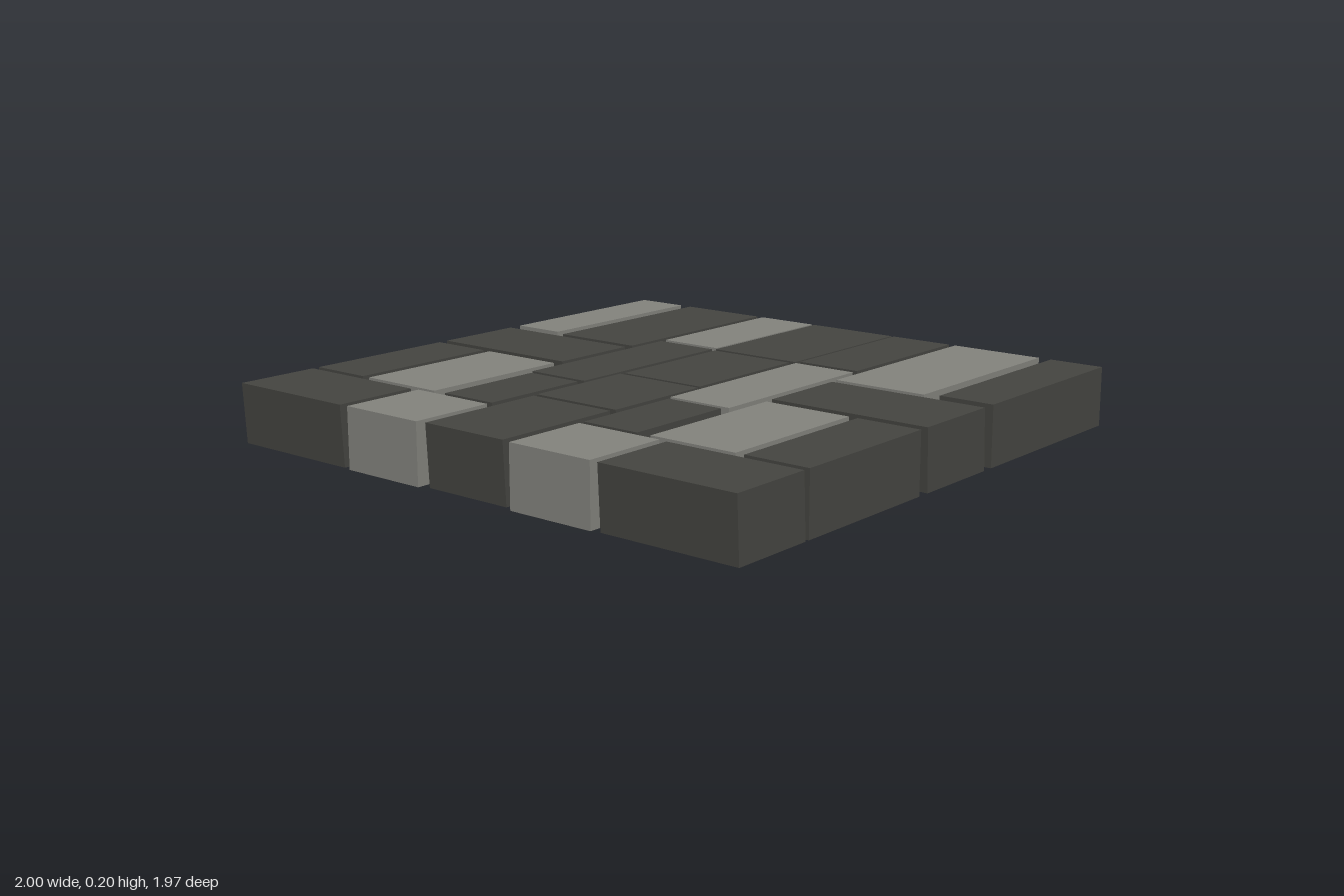
import * as THREE from 'three';

const HEIGHT = 0.2;
const dark = new THREE.MeshStandardMaterial({ color: 0x444440, flatShading: true, side: THREE.DoubleSide });
const light = new THREE.MeshStandardMaterial({ color: 0x82827c, flatShading: true, side: THREE.DoubleSide });

// Hollow paving block, open underneath; lean shifts the foot of the block towards the back
function block(name, [x0, x1, z0, z1], material, lean = 0) {
  const geo = new THREE.BoxGeometry(x1 - x0, HEIGHT, z1 - z0);
  const index = Array.from(geo.index.array);
  index.splice(18, 6); // drop the bottom face
  geo.setIndex(index);
  geo.clearGroups();
  const p = geo.attributes.position;
  for (let i = 0; i < p.count; i++) {
    if (p.getY(i) < 0) p.setZ(i, p.getZ(i) - lean);
  }
  geo.computeVertexNormals();
  const mesh = new THREE.Mesh(geo, material);
  mesh.name = name;
  mesh.position.set((x0 + x1) / 2, HEIGHT / 2, (z0 + z1) / 2);
  return mesh;
}

export function createModel() {
  const group = new THREE.Group();
  group.name = 'pavingPatch';

  // Mirrored pairs: name, inner x, outer x, back z, front z, left (+x) and right (-x) material, lean
  const pairs = [
    ['backCornerBlock', 0.81, 1, -0.985, -0.28, dark, light, 0],
    ['backWideBlock', 0.435, 0.765, -0.985, -0.26, light, dark, 0],
    ['backNarrowBlock', 0.18, 0.41, -0.985, -0.415, dark, light, 0],
    ['sideCrossBlock', 0.44, 1, -0.23, 0.09, dark, dark, 0.01],
    ['innerLongBlock', 0.18, 0.41, -0.39, 0.265, light, dark, 0],
    ['sideEdgeBlock', 0.78, 1, 0.125, 0.67, dark, dark, 0],
    ['sideWideBlock', 0.445, 0.75, 0.125, 0.67, light, light, 0],
    ['innerShortBlock', 0.19, 0.395, 0.285, 0.67, dark, dark, 0],
    ['frontCornerBlock', 0.525, 1, 0.695, 0.983, dark, dark, 0.01],
    ['frontBlock', 0.19, 0.495, 0.69, 0.98, light, light, 0],
  ];
  for (const [name, a, b, z0, z1, leftMat, rightMat, lean] of pairs) {
    group.add(block(name + 'Left', [a, b, z0, z1], leftMat, lean));
    group.add(block(name + 'Right', [-b, -a, z0, z1], rightMat, lean));
  }

  // Middle column, back to front
  const column = [
    [0.17, -0.985, -0.4, 0],
    [0.158, -0.38, 0.095, 0],
    [0.163, 0.11, 0.5, 0.01],
    [0.158, 0.52, 0.973, 0.01],
  ];
  column.forEach(([w, z0, z1, lean], i) => {
    group.add(block('middleBlock' + (i + 1), [-w, w, z0, z1], dark, lean));
  });

  return group;
}
